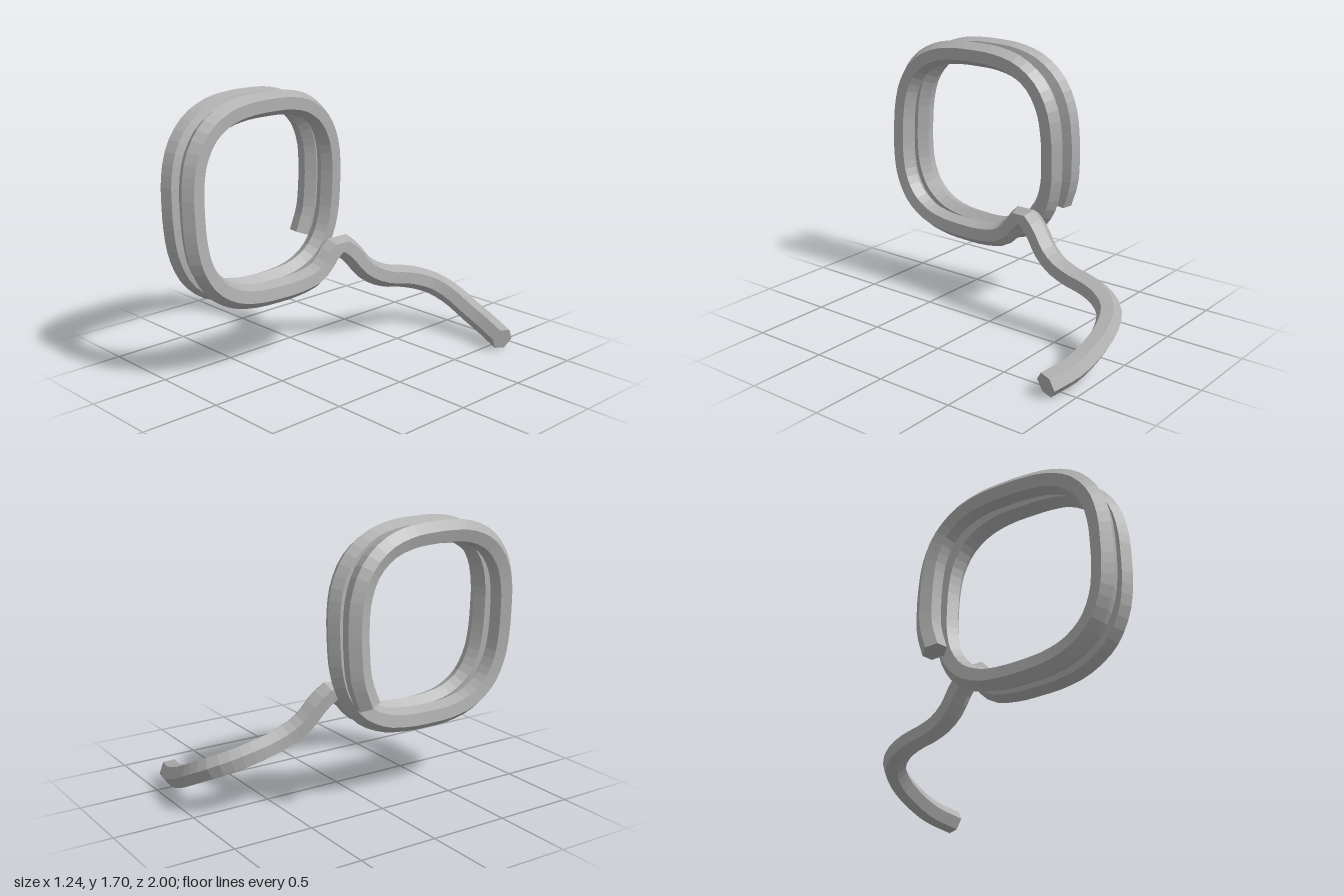
import * as THREE from 'three';

const RADIUS = 0.075, SIDES = 6, SEGMENTS = 150;
const START = -0.1, END = 1.833; // turns of the coil

// Centre line of the squarish coil at a given turn
function coilPoint(turn) {
  const a = turn * Math.PI * 2, c = Math.cos(a), s = Math.sin(a), n = 2.8;
  const r = 0.57 / Math.pow(Math.abs(c) ** n + Math.abs(s) ** n, 1 / n);
  return new THREE.Vector3(-0.53 + 0.18 * turn, 1.06 + r * s, 0.355 - r * c);
}

// Loose end: a kink beside the coil, then a sweep down to the ground
const TAIL = [
  [-0.2, 0.58, -0.02], [-0.195, 0.645, -0.075], [-0.187, 0.69, -0.14],
  [-0.17, 0.63, -0.23], [-0.145, 0.51, -0.33], [-0.125, 0.445, -0.43],
  [-0.12, 0.405, -0.54], [-0.118, 0.38, -0.65], [-0.09, 0.345, -0.77],
  [-0.02, 0.3, -0.87], [0.1, 0.24, -0.92], [0.25, 0.17, -0.925],
  [0.41, 0.115, -0.91], [0.592, 0.075, -0.857],
];

// Sweep a hexagon along the curve with flat faces and closed ends
function sweepHexagon(curve) {
  const { tangents, normals, binormals } = curve.computeFrenetFrames(SEGMENTS, false);
  const tilt = THREE.MathUtils.degToRad(20);
  const corner = new THREE.Vector3(-Math.sin(tilt), 0, -Math.cos(tilt));
  const phase = Math.atan2(corner.dot(binormals[0]), corner.dot(normals[0]));
  const positions = [], index = [];

  for (let i = 0; i <= SEGMENTS; i++) {
    const p = curve.getPointAt(i / SEGMENTS);
    for (let j = 0; j < SIDES; j++) {
      const a = phase + (j / SIDES) * Math.PI * 2;
      const v = p.clone()
        .addScaledVector(normals[i], RADIUS * Math.cos(a))
        .addScaledVector(binormals[i], RADIUS * Math.sin(a));
      positions.push(v.x, v.y, v.z);
    }
  }
  for (let i = 0; i < SEGMENTS; i++) {
    for (let j = 0; j < SIDES; j++) {
      const k = (j + 1) % SIDES;
      const a = i * SIDES + j, b = i * SIDES + k;
      index.push(a, b, b + SIDES, a, b + SIDES, a + SIDES);
    }
  }
  const last = SEGMENTS * SIDES;
  for (let j = 1; j < SIDES - 1; j++) {
    index.push(0, j + 1, j);
    index.push(last, last + j, last + j + 1);
  }

  const indexed = new THREE.BufferGeometry();
  indexed.setAttribute('position', new THREE.Float32BufferAttribute(positions, 3));
  indexed.setIndex(index);
  const geometry = indexed.toNonIndexed();
  geometry.computeVertexNormals();
  return geometry;
}

export function createModel() {
  const group = new THREE.Group();
  group.name = 'coiledRope';
  const grey = new THREE.MeshStandardMaterial({ color: 0xb0b0b0 });
  grey.name = 'grey';

  // Two turns of coil followed by the loose tail, as one strand
  const points = [];
  const steps = 46;
  for (let i = 0; i <= steps; i++) {
    points.push(coilPoint(START + (END - START) * (i / steps)));
  }
  TAIL.forEach((p) => points.push(new THREE.Vector3(...p)));
  const curve = new THREE.CatmullRomCurve3(points);
  curve.arcLengthDivisions = 1000;

  const rope = new THREE.Mesh(sweepHexagon(curve), grey);
  rope.name = 'ropeStrand';
  group.add(rope);
  return group;
}
